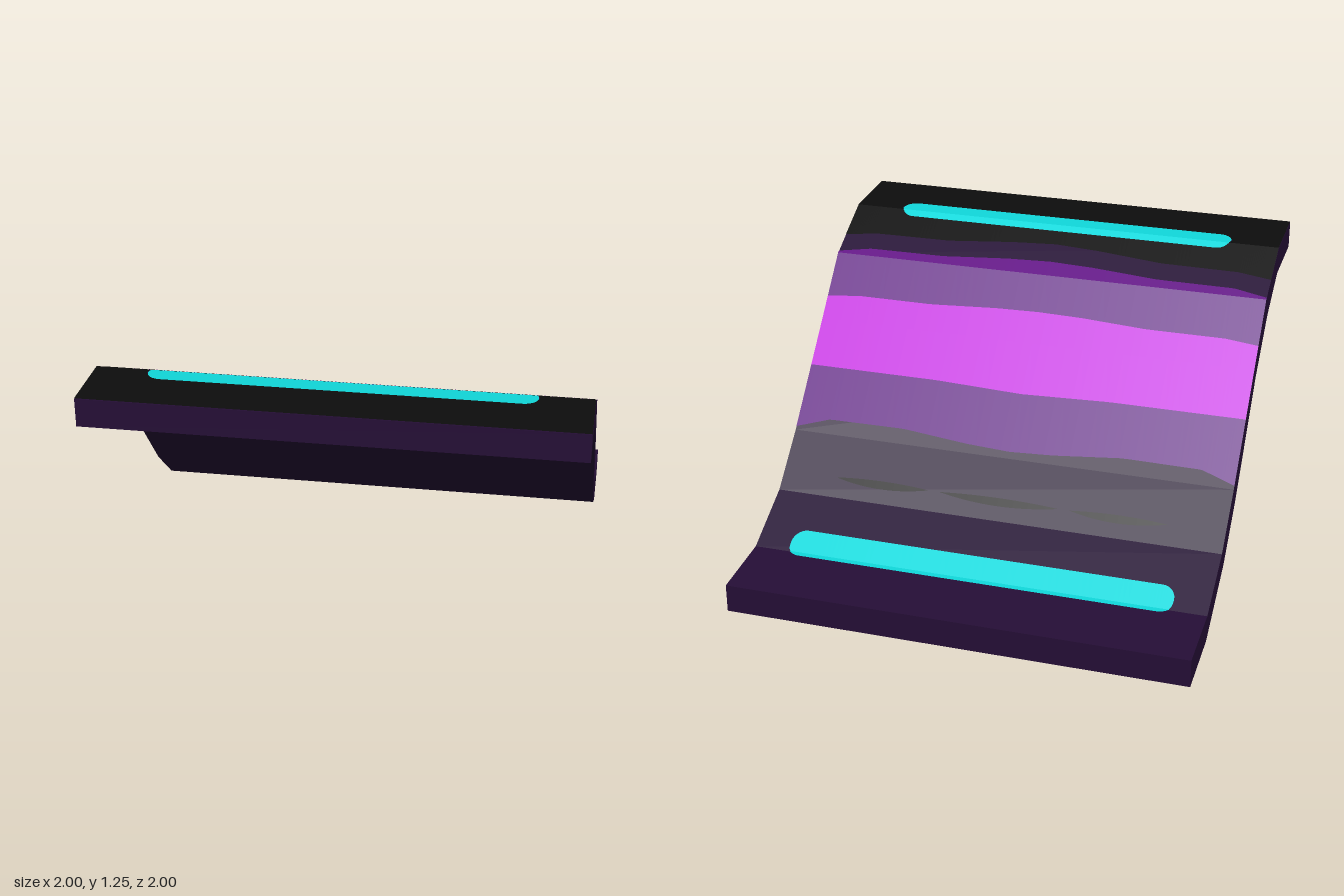
import * as THREE from 'three';

// Cross-sections as [z, y], from the low back edge to the high front edge
const TOP = [[-1, 0.125], [-0.685, 0.14], [-0.405, 0.275], [-0.19, 0.47], [0.18, 0.86], [0.405, 1.1], [0.685, 1.238], [1, 1.25]];
const BOTTOM = [[-1, 0], [-0.685, 0.02], [-0.35, 0.195], [-0.137, 0.385], [0.235, 0.81], [0.465, 1.005], [0.685, 1.12], [1, 1.13]];
const LIFT = 0.003;

function lerpPoints(points, t) {
  let i = 1;
  while (i < points.length - 1 && points[i][0] < t) i++;
  const [a, b] = [points[i - 1], points[i]];
  return a[1] + (b[1] - a[1]) * (t - a[0]) / (b[0] - a[0]);
}

// Wavy edge across the ramp, mirrored about x = 0: points are [|x|, z]
const edge = (...points) => (x) => lerpPoints(points, Math.abs(x));

// Thin painted layer on the top surface between the edges back(x) and front(x)
function paint(name, material, back, front, x0 = -1, x1 = 1, columns = 80) {
  const positions = [];
  const surface = (x, z) => [x, lerpPoints(TOP, z) + LIFT, z];
  for (let s = 0; s < TOP.length - 1; s++) {
    const lo = TOP[s][0], hi = TOP[s + 1][0];
    const clamp = (z) => Math.min(hi, Math.max(lo, z));
    for (let i = 0; i < columns; i++) {
      // Cosine spacing packs columns into the rounded ends
      const [xa, xb] = [i, i + 1].map((k) => x0 + (x1 - x0) * (1 - Math.cos(Math.PI * k / columns)) / 2);
      const a0 = clamp(back(xa)), a1 = clamp(front(xa)), b0 = clamp(back(xb)), b1 = clamp(front(xb));
      if (a1 - a0 < 1e-5 && b1 - b0 < 1e-5) continue;
      const A = surface(xa, a0), B = surface(xa, a1), C = surface(xb, b1), D = surface(xb, b0);
      positions.push(...A, ...B, ...C, ...A, ...C, ...D);
    }
  }
  const geometry = new THREE.BufferGeometry();
  geometry.setAttribute('position', new THREE.Float32BufferAttribute(positions, 3));
  geometry.computeVertexNormals();
  const mesh = new THREE.Mesh(geometry, material);
  mesh.name = name;
  return mesh;
}

// Light bar with rounded ends
function lightBar(name, material, z0, z1, halfLength, radius) {
  const inset = (x) => {
    const d = Math.max(0, Math.abs(x) - (halfLength - radius));
    return radius - Math.sqrt(Math.max(0, radius * radius - d * d));
  };
  return paint(name, material, (x) => z0 + inset(x), (x) => z1 - inset(x), -halfLength, halfLength);
}

export function createModel() {
  const colour = (name, color) => {
    const material = new THREE.MeshStandardMaterial({ color });
    material.name = name;
    return material;
  };
  const darkPurple = colour('darkPurple', 0x250e36);
  const purple = colour('purple', 0x620f85);
  const magenta = colour('magenta', 0xc00edb);
  const cyan = colour('cyan', 0x10d8db);
  const black = colour('black', 0x0d0d0d);

  const group = new THREE.Group();
  group.name = 'ramp';

  // Curved slab
  const outline = [...TOP, ...[...BOTTOM].reverse()].map(([z, y]) => new THREE.Vector2(-z, y));
  const slab = new THREE.ExtrudeGeometry(new THREE.Shape(outline), { depth: 2, bevelEnabled: false });
  slab.translate(0, 0, -1).rotateY(Math.PI / 2);
  const body = new THREE.Mesh(slab, darkPurple);
  body.name = 'slab';
  group.add(body);

  // Colour bands from back to front
  const purpleBack = edge([0, -0.17], [0.2, -0.163], [0.5, -0.143], [0.85, -0.145], [1, -0.18]);
  const magentaBack = edge([0, 0.015], [0.4, 0.025], [1, 0.025]);
  const magentaFront = edge([0, 0.283], [0.2, 0.28], [0.5, 0.268], [0.85, 0.268], [1, 0.257]);
  const purpleFront = edge([0, 0.48], [0.2, 0.472], [0.5, 0.447], [0.85, 0.445], [1, 0.415]);
  const blackBack = edge([0, 0.577], [0.2, 0.565], [0.5, 0.535], [0.85, 0.532], [1, 0.51]);
  group.add(
    paint('backPurpleBand', purple, purpleBack, magentaBack),
    paint('magentaBand', magenta, magentaBack, magentaFront),
    paint('frontPurpleBand', purple, magentaFront, purpleFront),
  );

  // Black landing, cut around its light bar
  const bar = { z0: 0.65, z1: 0.77, half: 0.78, radius: 0.06 };
  const barCut = (sign) => (x) => {
    const d = Math.max(0, Math.abs(x) - (bar.half - bar.radius));
    return 0.71 + sign * Math.sqrt(Math.max(0, bar.radius ** 2 - d * d));
  };
  group.add(
    paint('landingBack', black, blackBack, barCut(-1), -1, 1, 160),
    paint('landingFront', black, barCut(1), () => 1, -1, 1, 160),
    lightBar('frontLightBar', cyan, bar.z0, bar.z1, bar.half, bar.radius),
    lightBar('backLightBar', cyan, -0.71, -0.58, 0.85, 0.06),
  );

  // Thin lens-shaped marks at the foot of the slope
  for (const [x0, x1] of [[-0.75, -0.32], [-0.27, 0.27], [0.32, 0.75]]) {
    const bulge = (x) => 1 - ((2 * x - x0 - x1) / (x1 - x0)) ** 2;
    group.add(paint('slopeMark', black, (x) => -0.337 - 0.02 * bulge(x), (x) => -0.337 + 0.008 * bulge(x), x0, x1, 24));
  }
  return group;
}
